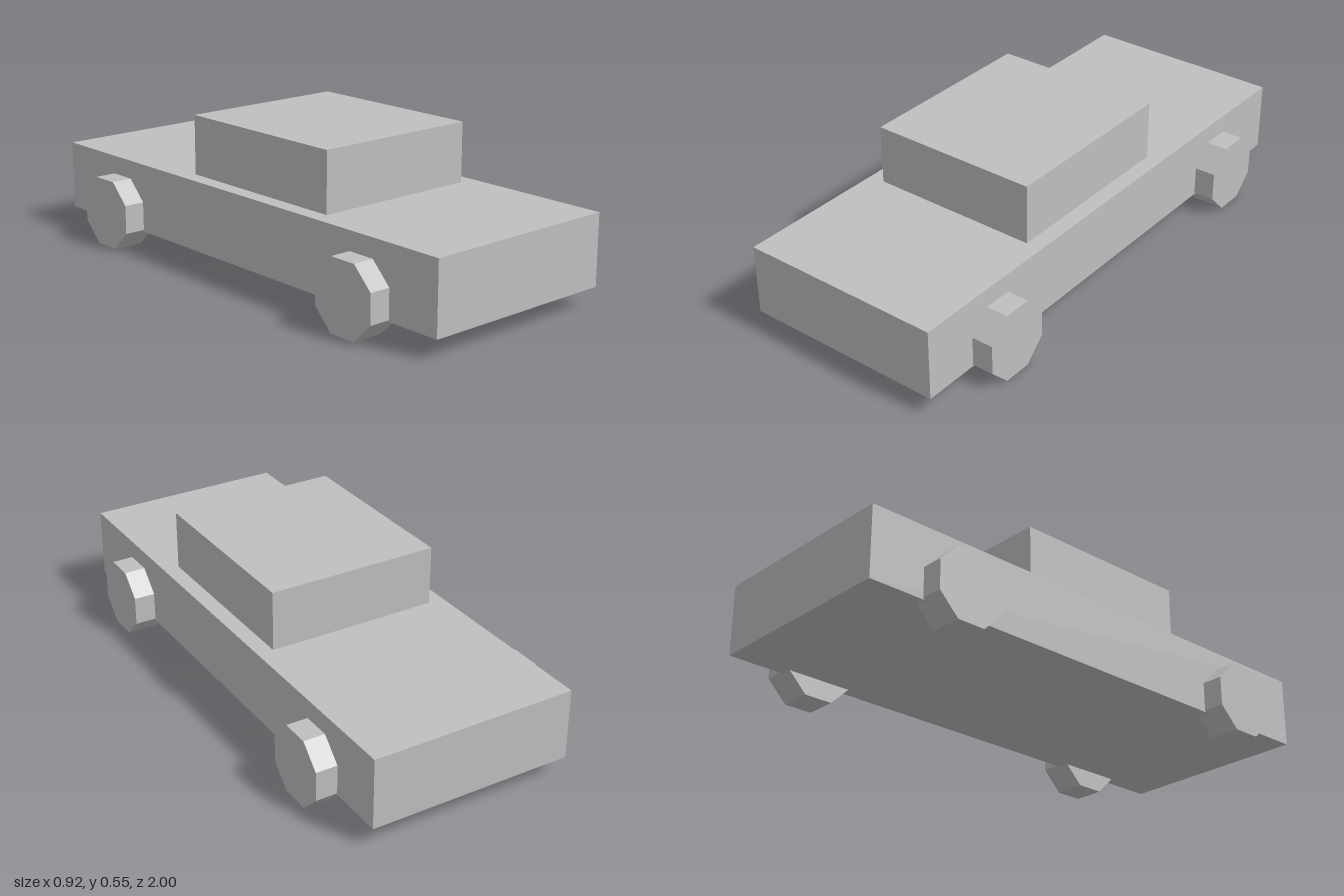
import * as THREE from 'three';

export function createModel() {
  const car = new THREE.Group();
  car.name = 'car';

  const grey = new THREE.MeshStandardMaterial({ color: 0xbfbfbf });
  grey.name = 'plain grey';

  const add = (name, geometry, x, y, z) => {
    const mesh = new THREE.Mesh(geometry, grey);
    mesh.name = name;
    mesh.position.set(x, y, z);
    car.add(mesh);
  };

  // Body slab and the cabin resting on it, set slightly forward
  add('body', new THREE.BoxGeometry(0.76, 0.26, 2), 0, 0.2, 0);
  add('cabin', new THREE.BoxGeometry(0.64, 0.22, 0.71), 0, 0.44, 0.075);

  // Octagonal wheels standing on a flat side, sunk a little into the body
  const apothem = 0.13;
  const radius = apothem / Math.cos(Math.PI / 8);
  const wheel = new THREE.CylinderGeometry(radius, radius, 0.12, 8, 1, false, Math.PI / 8)
    .rotateZ(Math.PI / 2)
    .toNonIndexed();
  wheel.computeVertexNormals(); // faceted tread

  for (const [side, sx] of [['Left', 1], ['Right', -1]]) {
    for (const [end, sz] of [['front', 1], ['rear', -1]]) {
      add(`${end}${side}Wheel`, wheel, sx * 0.4, apothem, sz * 0.66);
    }
  }
  return car;
}
